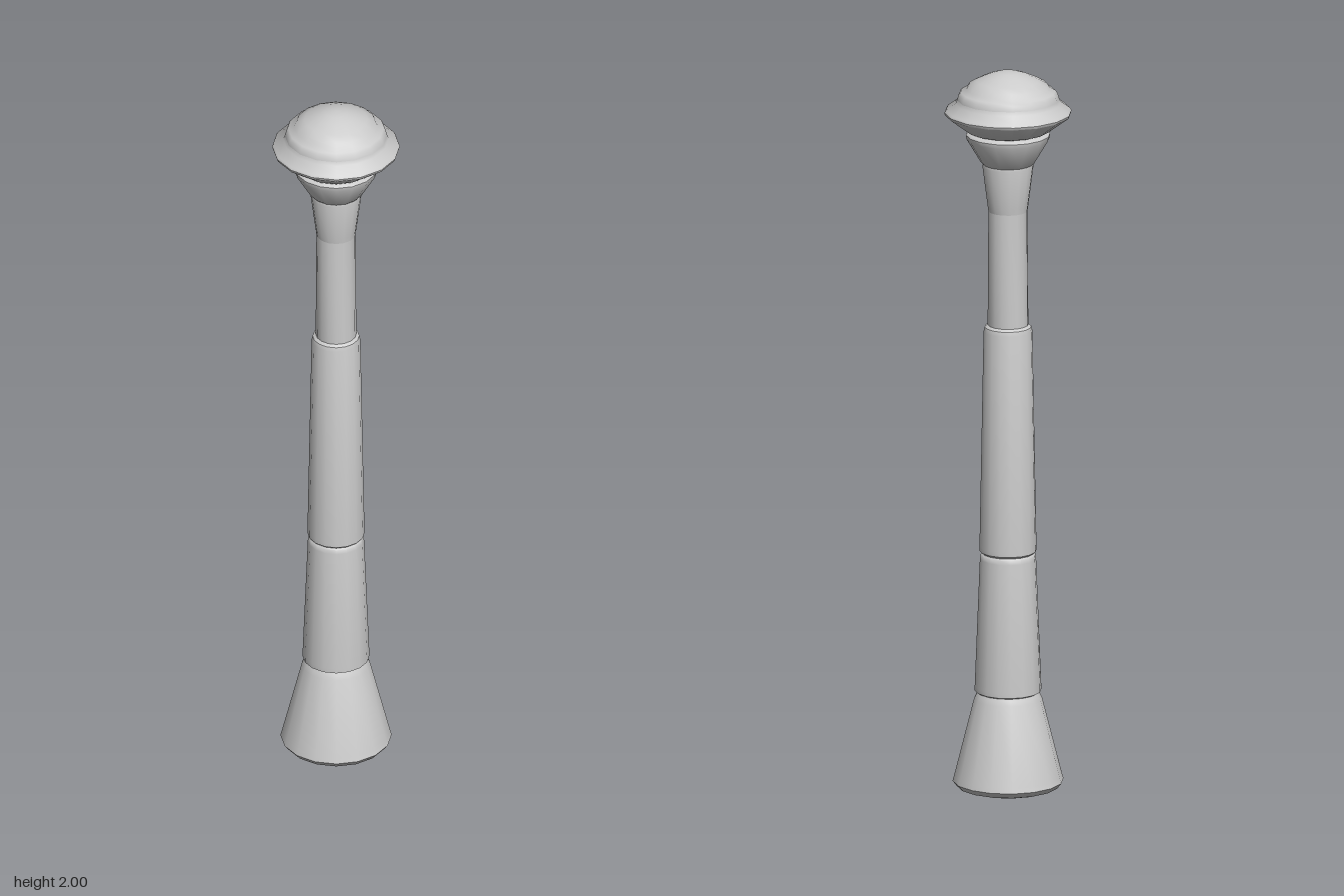
import * as THREE from 'three';
import { toCreasedNormals } from 'three/addons/utils/BufferGeometryUtils.js';

const SIDES = 16;

// Each part is a turned profile of [radius, height], listed from bottom to top.
const profiles = {
  foot: [[0, 0], [0.115, 0], [0.138, 0.007], [0.15, 0.022], [0.146, 0.036], [0.092, 0.25], [0.086, 0.262], [0.083, 0.268]],
  lowerShaft: [[0.083, 0.268], [0.09, 0.272], [0.09, 0.285], [0.076, 0.64], [0.074, 0.652], [0.07, 0.656]],
  middleShaft: [[0.07, 0.656], [0.077, 0.662], [0.077, 0.675], [0.066, 1.275], [0.063, 1.287], [0.055, 1.293]],
  upperShaft: [[0.055, 1.293], [0.053, 1.61]],
  neck: [[0.053, 1.61], [0.055, 1.625], [0.069, 1.735], [0.068, 1.742]],
  collar: [[0.068, 1.742], [0.074, 1.748], [0.112, 1.812], [0.114, 1.824], [0.108, 1.83], [0.1, 1.832]],
  headRim: [[0.1, 1.832], [0.112, 1.836], [0.17, 1.88], [0.172, 1.887], [0.168, 1.893], [0.142, 1.912], [0.138, 1.922]],
  cap: [[0.138, 1.922], [0.134, 1.936], [0.128, 1.943], [0.113, 1.951], [0.107, 1.962], [0.085, 1.974],
    [0.055, 1.988], [0.03, 1.996], [0, 2]],
};

export function createModel() {
  const group = new THREE.Group();
  const material = new THREE.MeshStandardMaterial({ color: 0xcccccc });
  for (const [name, profile] of Object.entries(profiles)) {
    const points = profile.map(([r, y]) => new THREE.Vector2(r, y));
    const geometry = toCreasedNormals(new THREE.LatheGeometry(points, SIDES), 0.65);
    const mesh = new THREE.Mesh(geometry, material);
    mesh.name = name;
    group.add(mesh);
  }
  return group;
}
